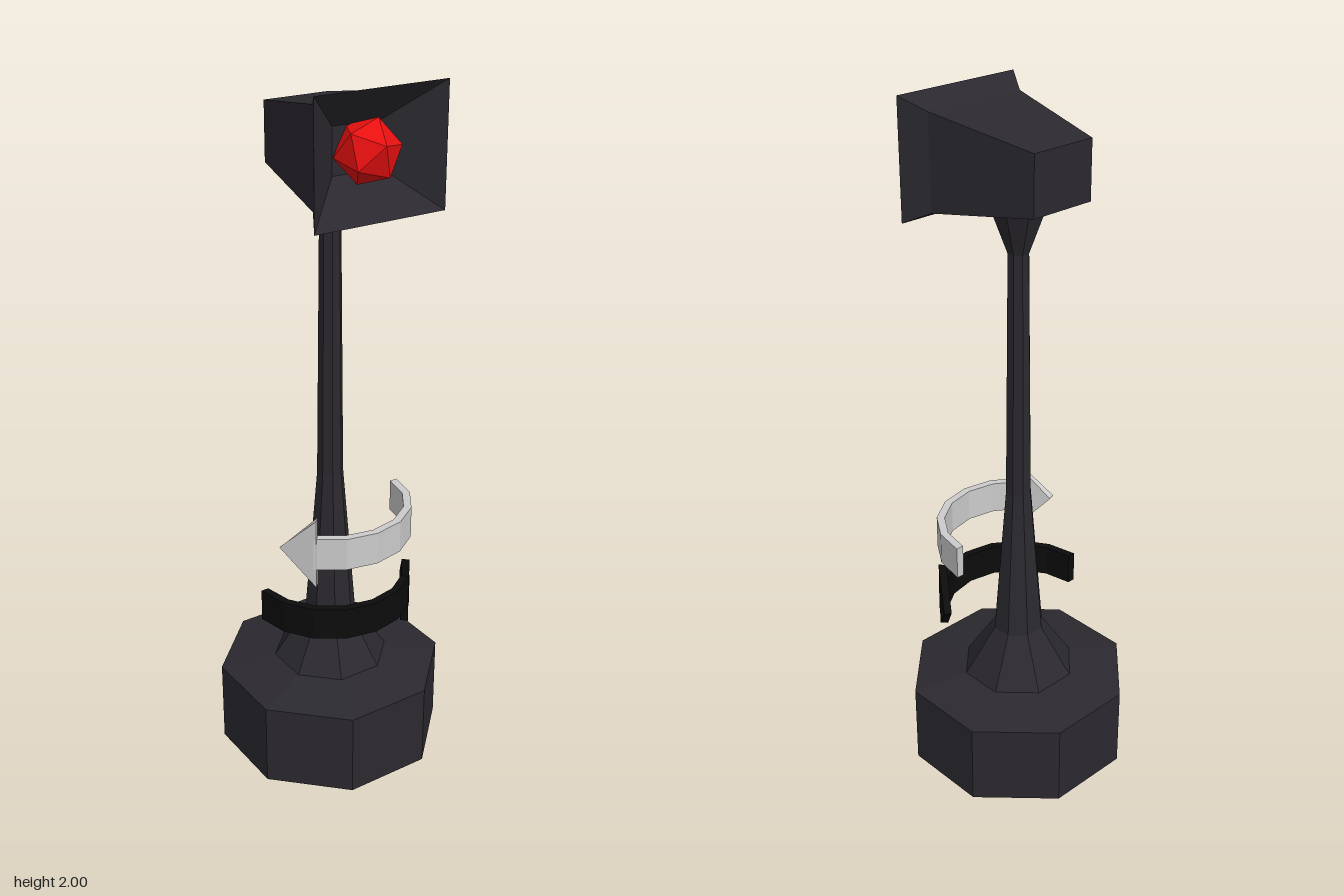
import * as THREE from 'three';

const material = (color) => new THREE.MeshStandardMaterial({ color, flatShading: true });
const dark = material(0x2b292f), black = material(0x0c0c0c), grey = material(0xcccccc), red = material(0xe81010);

function part(name, geometry, mat) {
  const mesh = new THREE.Mesh(geometry, mat);
  mesh.name = name;
  return mesh;
}

// Skins a chain of four-cornered cross-sections and caps both ends
function loft(rings) {
  const pos = [];
  const quad = (a, b, c, d) => pos.push(...a, ...b, ...c, ...a, ...c, ...d);
  for (let i = 0; i < rings.length - 1; i++) {
    for (let j = 0; j < 4; j++) {
      const k = (j + 1) % 4;
      quad(rings[i][j], rings[i][k], rings[i + 1][k], rings[i + 1][j]);
    }
  }
  const [first, last] = [rings[0], rings[rings.length - 1]];
  quad(first[3], first[2], first[1], first[0]);
  quad(last[0], last[1], last[2], last[3]);
  const g = new THREE.BufferGeometry();
  g.setAttribute('position', new THREE.Float32BufferAttribute(pos, 3));
  g.computeVertexNormals();
  return g;
}

// Octagonal turned shape from [distance to flat, height] pairs
function octagon(profile) {
  const points = profile.map(([r, y]) => new THREE.Vector2(r / Math.cos(Math.PI / 8), y));
  const g = new THREE.LatheGeometry(points, 8, Math.PI / 8).toNonIndexed();
  g.computeVertexNormals();
  return g;
}

// Curved arrow: a band round the post ending in a pointed head
function curvedArrow(name, mat) {
  const section = (deg, h) => {
    const t = THREE.MathUtils.degToRad(deg), c = Math.cos(t), s = Math.sin(t);
    const outer = 0.237, inner = 0.214;
    return [[outer * c, -h, outer * s], [outer * c, h, outer * s],
      [inner * c, h, inner * s], [inner * c, -h, inner * s]];
  };
  const band = [];
  for (let i = 0; i <= 6; i++) band.push(section(i * 22.5, 0.048));
  const group = new THREE.Group();
  group.name = name;
  group.add(part('arrowBand', loft(band), mat));
  group.add(part('arrowHead', loft([section(133, 0.105), section(160, 0.001)]), mat));
  return group;
}

export function createModel() {
  const model = new THREE.Group();
  model.name = 'signalLamp';

  // Foot and post
  model.add(part('base', octagon([[0, 0], [0.307, 0], [0.307, 0.25], [0.158, 0.275], [0, 0.275]]), dark));
  model.add(part('post', octagon([[0.158, 0.272], [0.07, 0.42], [0.035, 0.88], [0.028, 1.6], [0.078, 1.745], [0, 1.745]]), dark));

  // Lamp housing: tapered box, flared hood, then the funnel inside it
  const frame = (z, x, y0, y1) => [[-x, y0, z], [x, y0, z], [x, y1, z], [-x, y1, z]];
  model.add(part('lampHousing', loft([
    frame(-0.16, 0.1, 1.752, 1.915),
    frame(0.16, 0.158, 1.702, 1.965),
    frame(0.23, 0.2, 1.667, 2),
    frame(0.12, 0.075, 1.77, 1.895),
  ]), dark));

  // Faceted bulb
  const bulb = part('bulb', new THREE.IcosahedronGeometry(0.088), red);
  bulb.position.set(0, 1.833, 0.167);
  bulb.rotation.set(0.2, 0.15, 0.3);
  model.add(bulb);

  // Two arrows turning opposite ways
  const upper = curvedArrow('upperArrow', grey);
  upper.position.y = 0.738;
  const lower = curvedArrow('lowerArrow', black);
  lower.position.y = 0.512;
  lower.rotation.z = Math.PI;
  model.add(upper, lower);

  return model;
}
